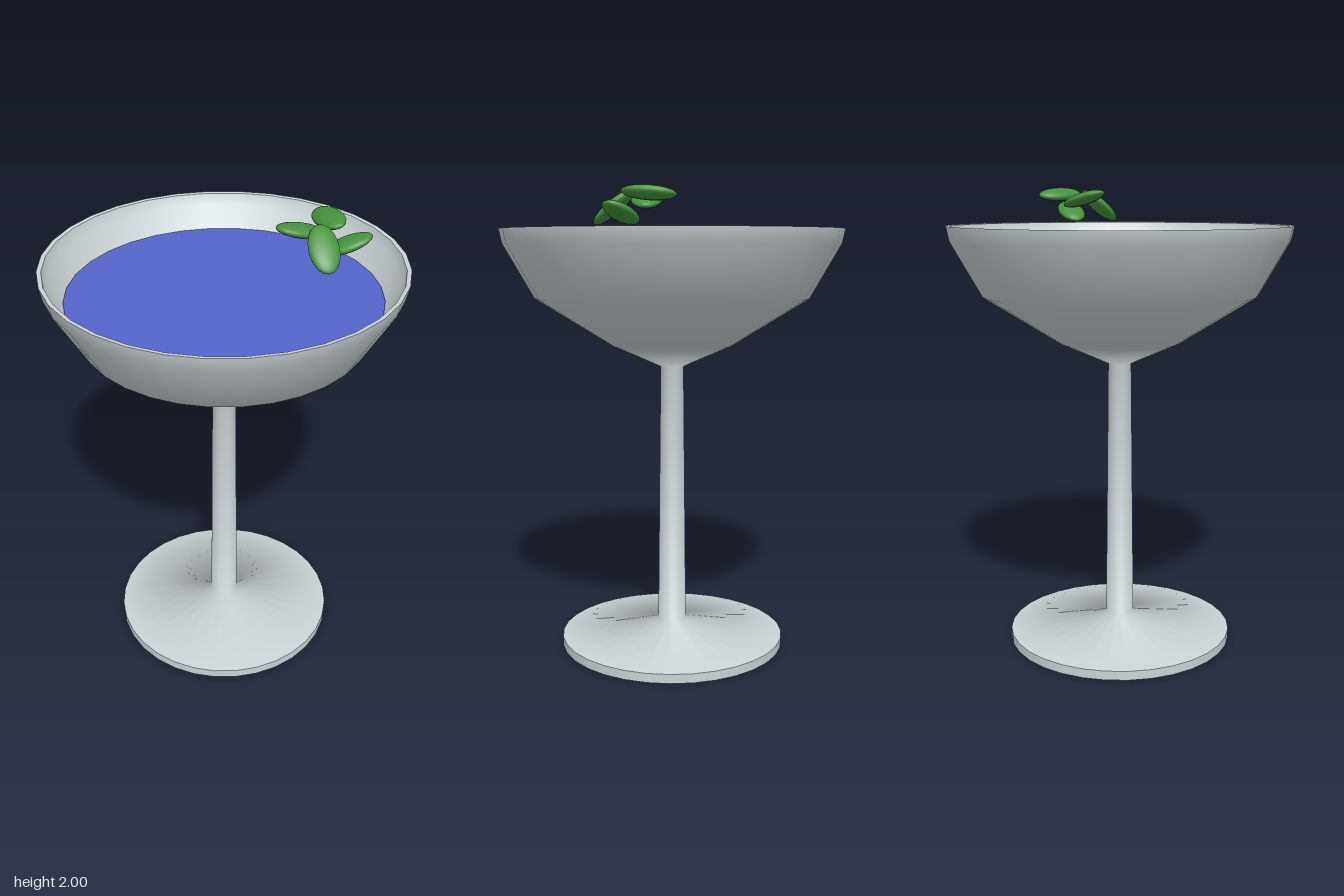
import * as THREE from 'three';

const SIDES = 32;

export function createModel() {
  const glass = new THREE.MeshStandardMaterial({ color: 0xcbd3d6 });
  glass.name = 'pale glass';
  const blue = new THREE.MeshStandardMaterial({ color: 0x5565cb });
  blue.name = 'blue drink';
  const green = new THREE.MeshStandardMaterial({ color: 0x47923f });
  green.name = 'leaf green';

  const model = new THREE.Group();
  model.name = 'cocktailGlass';

  const add = (name, geometry, material, parent = model) => {
    const mesh = new THREE.Mesh(geometry, material);
    mesh.name = name;
    parent.add(mesh);
    return mesh;
  };
  const lathe = (name, profile) => add(name,
    new THREE.LatheGeometry(profile.map(([r, y]) => new THREE.Vector2(r, y)), SIDES), glass);

  // Foot: flat underside and thin vertical edge
  add('footUnderside', new THREE.CircleGeometry(0.495, SIDES).rotateX(Math.PI / 2), glass);
  lathe('footEdge', [[0.495, 0], [0.495, 0.04]]);

  // Sloping foot, stem and outside of the bowl as one smooth sweep
  lathe('footStemAndBowl', [
    [0.495, 0.04], [0.062, 0.11], [0.05, 1.25],
    [0.265, 1.345], [0.59, 1.55], [0.72, 1.78], [0.732, 1.84],
  ]);

  // Rim and inside of the bowl
  lathe('rim', [[0.732, 1.84], [0.714, 1.838]]);
  lathe('bowlInterior', [[0.714, 1.838], [0.7, 1.79], [0.57, 1.57], [0.25, 1.37], [0, 1.28]]);

  // Drink surface
  const drink = add('drink', new THREE.CircleGeometry(0.642, SIDES).rotateX(-Math.PI / 2), blue);
  drink.position.y = 1.7;

  // Garnish: flattened ellipsoid leaves, each laid from stalk to tip
  const garnish = new THREE.Group();
  garnish.name = 'garnish';
  model.add(garnish);
  const leaf = (name, stalk, tip, up, width = 0.063) => {
    const a = new THREE.Vector3(...stalk), b = new THREE.Vector3(...tip);
    const along = b.clone().sub(a);
    const half = along.length() / 2;
    along.normalize();
    const side = new THREE.Vector3(...up).cross(along).normalize();
    const normal = along.clone().cross(side);
    const mesh = add(name, new THREE.SphereGeometry(1, 20, 14).scale(width, 0.026, half), green, garnish);
    mesh.quaternion.setFromRotationMatrix(new THREE.Matrix4().makeBasis(side, normal, along));
    mesh.position.copy(a).add(b).multiplyScalar(0.5);
  };
  leaf('leftLeaf', [0.4, 1.855, -0.015], [0.585, 1.932, 0.012], [0, 1, 0], 0.06);
  leaf('rightLeaf', [0.41, 1.92, -0.065], [0.203, 1.98, 0.018], [0, 1, 0]);
  leaf('frontLeaf', [0.37, 1.985, 0.005], [0.385, 1.852, 0.17], [0, 1, 0]);
  leaf('backLeaf', [0.452, 1.977, 0.02], [0.4, 1.963, -0.195], [-0.25, 1, 0], 0.058);

  return model;
}
